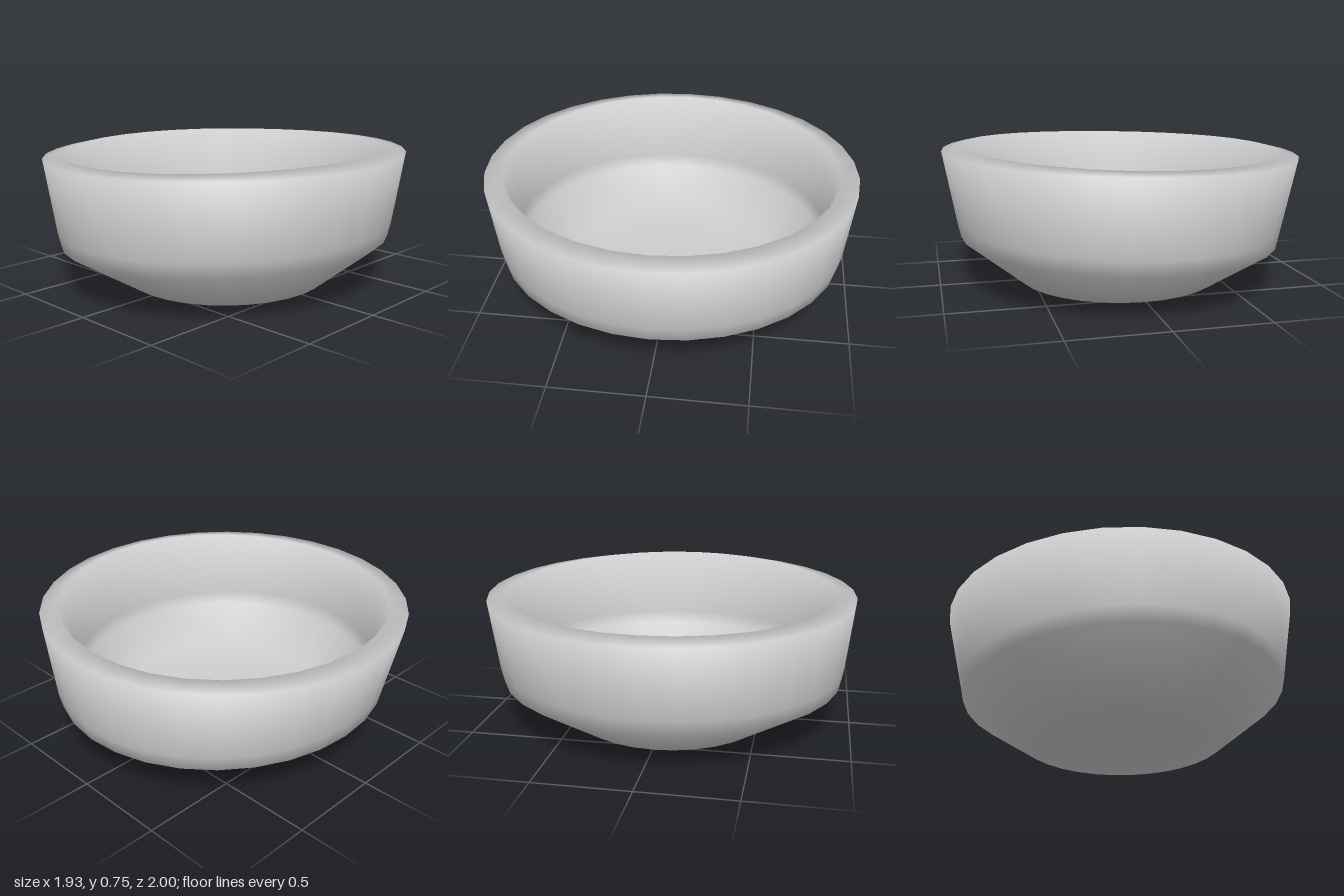
import * as THREE from 'three';
import { mergeVertices } from 'three/addons/utils/BufferGeometryUtils.js';

// One ring per row, from under the base, up the outside, over the rim and
// down to the middle of the floor:
// [x radius, z radius, height, x offset, tilt, rise at both x ends]
const RINGS = [
  [0, 0, 0.003, 0.01, 0, 0],
  [0.36, 0.37, 0.003, 0.01, 0.004, 0], // base
  [0.553, 0.56, 0.003, 0.012, 0.004, 0], // foot edge
  [0.868, 0.94, 0.241, 0.012, 0.025, 0], // shoulder
  [0.885, 0.958, 0.32, 0.012, 0.024, 0],
  [0.967, 1, 0.709, 0, 0.021, 0], // outer rim
  [0.866, 0.895, 0.721, 0, 0.024, 0.013], // inner rim crest
  [0.797, 0.855, 0.36, 0.003, 0.022, 0], // inner wall
  [0.785, 0.84, 0.285, 0.005, 0.022, 0], // floor edge
  [0.54, 0.57, 0.13, 0.015, 0.012, 0],
  [0.3, 0.31, 0.1, 0.025, 0.006, 0],
  [0, 0, 0.1, 0.03, 0, 0],
];
const SIDES = 32;

// Smooth normals weighted by corner angle, so narrow bands count fully
function smoothNormals(geometry) {
  const { position } = geometry.attributes;
  const index = geometry.index.array;
  const normals = Array.from({ length: position.count }, () => new THREE.Vector3());
  for (let f = 0; f < index.length; f += 3) {
    const ids = [index[f], index[f + 1], index[f + 2]];
    const p = ids.map((id) => new THREE.Vector3().fromBufferAttribute(position, id));
    const face = new THREE.Triangle(...p).getNormal(new THREE.Vector3());
    ids.forEach((id, k) => {
      const a = p[(k + 1) % 3].clone().sub(p[k]);
      const b = p[(k + 2) % 3].clone().sub(p[k]);
      normals[id].addScaledVector(face, a.angleTo(b));
    });
  }
  geometry.setAttribute('normal', new THREE.Float32BufferAttribute(
    normals.flatMap((n) => n.normalize().toArray()), 3));
}

function createBowlGeometry() {
  const profile = RINGS.map(([rx, , y]) => new THREE.Vector2(rx > 0 ? 1 : 0, y));
  const geometry = new THREE.LatheGeometry(profile, SIDES);
  const pos = geometry.attributes.position;

  // Stretch every unit ring into its own slightly tilted ellipse
  for (let i = 0; i < pos.count; i++) {
    const [rx, rz, y, cx, tilt, rise] = RINGS[i % RINGS.length];
    const u = pos.getX(i);
    pos.setXYZ(i, u * rx + cx, y + u * rx * tilt + u * u * rise, pos.getZ(i) * rz);
  }

  // Weld the seam so the shading stays smooth all round
  geometry.deleteAttribute('uv');
  geometry.deleteAttribute('normal');
  const welded = mergeVertices(geometry, 1e-4);
  smoothNormals(welded);
  return welded;
}

export function createModel() {
  const group = new THREE.Group();
  group.name = 'bowl';
  const material = new THREE.MeshStandardMaterial({ color: 0xcccccc });
  const body = new THREE.Mesh(createBowlGeometry(), material);
  body.name = 'bowlBody';
  group.add(body);
  return group;
}
